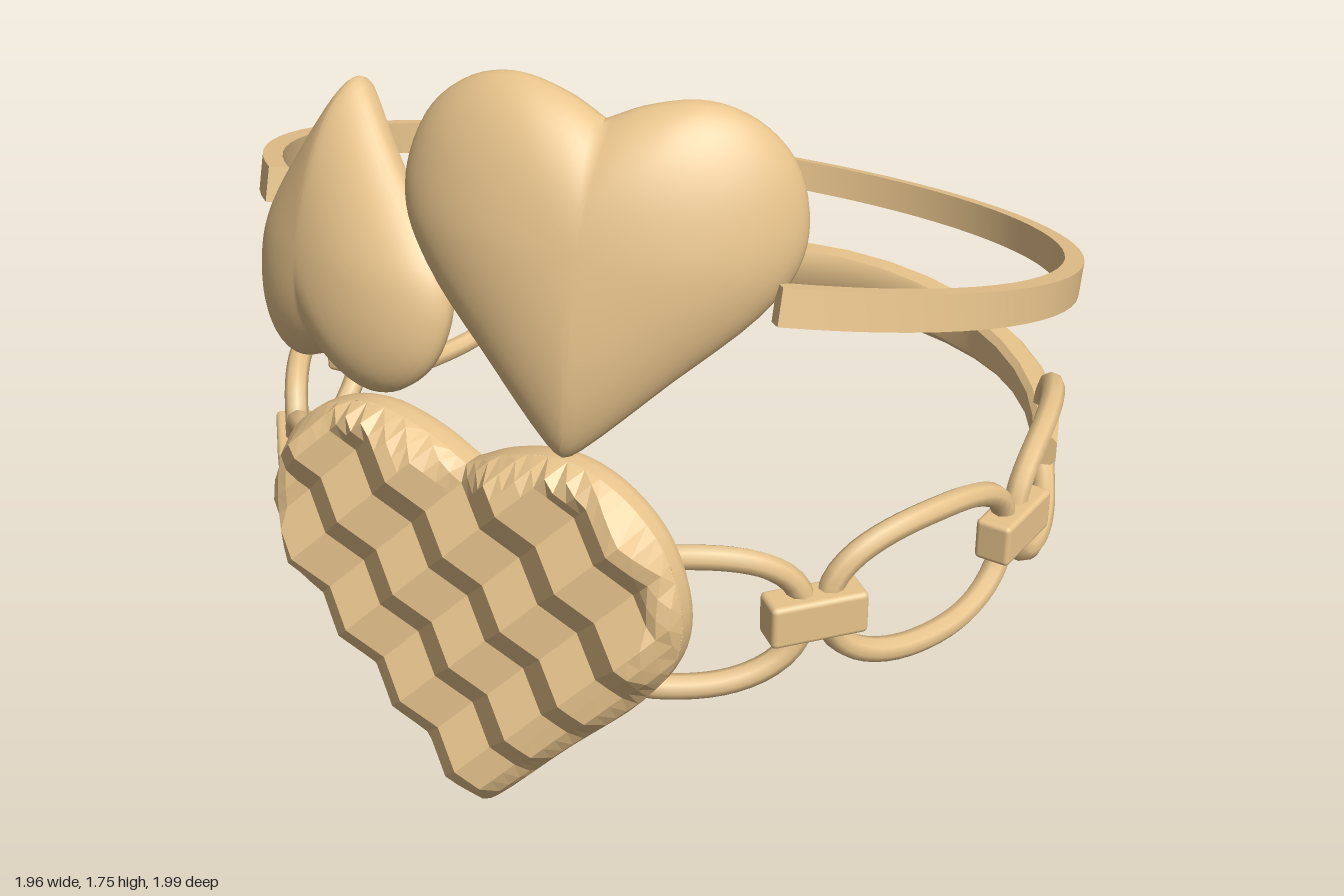
import * as THREE from 'three';
import { toCreasedNormals } from 'three/addons/utils/BufferGeometryUtils.js';
import { RoundedBoxGeometry } from 'three/addons/geometries/RoundedBoxGeometry.js';

const V = (x, y, z) => new THREE.Vector3(x, y, z);
const rad = THREE.MathUtils.degToRad;
const gold = new THREE.MeshStandardMaterial({ color: 0xe8c48c });
const goldFlat = new THREE.MeshStandardMaterial({ color: 0xe8c48c, flatShading: true });

function mesh(name, geometry, material = gold) {
  const m = new THREE.Mesh(geometry, material);
  m.name = name;
  return m;
}

function build(points, index) {
  const g = new THREE.BufferGeometry().setFromPoints(points);
  g.setIndex(index);
  g.computeVertexNormals();
  return g;
}

// Skin a list of closed cross-sections with equal point counts
function loft(rings, crease = 0.7) {
  const n = rings[0].length, index = [];
  for (let i = 0; i < rings.length - 1; i++) {
    for (let j = 0; j < n; j++) {
      const a = i * n + j, b = i * n + (j + 1) % n;
      index.push(a, b, b + n, a, b + n, a + n);
    }
  }
  return toCreasedNormals(build(rings.flat(), index), crease);
}

// Sweep a (radius, y) section around the y axis, with closed ends
function sweepArc(from, to, steps, section) {
  const rings = [];
  for (let i = 0; i <= steps; i++) {
    const t = i / steps, a = rad(from + (to - from) * t);
    rings.push(section(t).map(([r, y]) => V(r * Math.cos(a), y, r * Math.sin(a))));
  }
  const collapse = ring => {
    const c = V(0, 0, 0);
    ring.forEach(p => c.add(p));
    c.divideScalar(ring.length);
    return ring.map(() => c.clone());
  };
  return loft([collapse(rings[0]), ...rings, collapse(rings[steps])]);
}

// Heart outline, tip at the origin, running counterclockwise
const half = [[0, 0], [0.025, 0.012], [0.24, 0.235], [0.44, 0.44], [0.515, 0.56], [0.53, 0.68],
  [0.48, 0.83], [0.37, 0.93], [0.24, 0.965], [0.1, 0.935], [0, 0.885]];
const rightSide = new THREE.CatmullRomCurve3(half.map(([x, y]) => V(x, y, 0))).getPoints(44);
const outline = [...rightSide, ...rightSide.slice(1, -1).reverse().map(p => V(-p.x, p.y, 0))];
const heartCentre = V(0, 0.56, 0);

// Heart from [scale, depth] steps, starting at the middle of the back
function heartRings(profile) {
  return profile.map(([t, z]) => outline.map(p => {
    const q = heartCentre.clone().lerp(p, t);
    q.z = z;
    return q;
  }));
}

// Smooth padded heart bent around the bangle
function puffyHeart(name, angle, width, height, yMid, flip) {
  const profile = [[0, 0], [0.3, 0], [0.6, 0], [0.85, 0], [0.965, 0], [0.99, 0.012], [1, 0.03]];
  for (let k = 1; k <= 14; k++) {
    const t = Math.cos(k / 14 * Math.PI / 2);
    profile.push([t, 0.03 + 0.115 * Math.pow(1 - Math.pow(t, 2.2), 0.6)]);
  }
  const rings = heartRings(profile).map(ring => ring.map(p => {
    const a = rad(angle) + flip * p.x / 1.06 * width / 0.9;
    const r = 0.87 + p.z;
    return V(r * Math.sin(a), yMid + flip * (p.y / 0.965 - 0.5) * height, r * Math.cos(a));
  }));
  return mesh(name, loft(rings, 0.8));
}

// Radial position of a point: 0 at the heart's centre, 1 on its outline
function heartRatio(x, y) {
  const dx = x - heartCentre.x, dy = y - heartCentre.y;
  for (let j = 0; j < outline.length; j++) {
    const a = outline[j], b = outline[(j + 1) % outline.length];
    const ax = a.x, ay = a.y - heartCentre.y, ex = b.x - a.x, ey = b.y - a.y;
    const det = dx * ey - dy * ex;
    if (Math.abs(det) < 1e-12) continue;
    const s = (ax * ey - ay * ex) / det, k = (ax * dy - ay * dx) / det;
    if (s > 0 && k >= -1e-6 && k <= 1 + 1e-6) return 1 / s;
  }
  return 0;
}

// Heart with a faceted, diamond-quilted front
function quiltedHeart() {
  const group = new THREE.Group();
  group.name = 'quiltedHeart';
  const rim = [[0, 0], [0.975, 0], [0.993, 0.012], [1, 0.03], [1, 0.06]];
  group.add(mesh('heartBack', loft(heartRings(rim), 0.8)));

  const sub = 3, first = -1, last = 32, n = last - first + 1, step = 0.1 / sub;
  const fold = k => 1 - Math.abs((((k / sub) % 2) + 2) % 2 - 1);
  const points = [], inside = [], index = [];
  for (let i = first; i <= last; i++) {
    for (let j = first; j <= last; j++) {
      const x = (i - j) * step * Math.SQRT1_2, y = (i + j) * step * Math.SQRT1_2;
      const t = heartRatio(x, y);
      const p = V(x, y, 0);
      if (t > 1) p.sub(heartCentre).divideScalar(t).add(heartCentre);
      const fade = Math.sqrt(THREE.MathUtils.clamp((1 - t) / 0.1, 0, 1));
      p.z = 0.06 + (0.02 + 0.04 * (fold(i) + fold(j))) * fade;
      points.push(p);
      inside.push(t < 1);
    }
  }
  for (let i = 0; i < n - 1; i++) {
    for (let j = 0; j < n - 1; j++) {
      const a = i * n + j, b = a + n, c = b + 1, d = a + 1;
      if ([a, b, c, d].some(k => inside[k])) index.push(a, b, c, a, c, d);
    }
  }
  group.add(mesh('quilting', build(points, index), goldFlat));
  group.position.z = 0.81;
  return group;
}

// Oval chain link bent around the wrist; front links sink into the heart
function chainLink(angle) {
  const pts = [];
  const soft = v => Math.sign(v) * Math.pow(Math.abs(v), 0.88);
  for (let i = 0; i < 28; i++) {
    const t = i / 28 * Math.PI * 2;
    const a = rad(angle) + 0.27 * soft(Math.cos(t)) / 0.925;
    pts.push(V(0.925 * Math.cos(a), 0.6 + 0.162 * soft(Math.sin(t)), Math.min(0.845, 0.925 * Math.sin(a))));
  }
  return mesh('chainLink', new THREE.TubeGeometry(new THREE.CatmullRomCurve3(pts, true), 48, 0.028, 8, true));
}

function connector(angle) {
  const m = mesh('linkConnector', new RoundedBoxGeometry(0.085, 0.1, 0.22, 2, 0.012));
  const a = rad(angle);
  m.position.set(0.932 * Math.cos(a), 0.6, 0.932 * Math.sin(a));
  m.rotation.y = -a;
  return m;
}

export function createModel() {
  const model = new THREE.Group();

  // Chain bracelet
  const bracelet = new THREE.Group();
  bracelet.name = 'chainBracelet';
  bracelet.add(quiltedHeart());
  for (const mirrored of [false, true]) {
    const place = a => (mirrored ? 180 - a : a);
    for (const a of [59, 22.3, -14]) bracelet.add(chainLink(place(a)));
    for (const a of [41, 3.7]) bracelet.add(connector(place(a)));
  }

  // Solid back band, widest at the middle
  bracelet.add(mesh('backBand', sweepArc(-161, -19, 18, t => {
    const s = Math.sin(t * Math.PI);
    const r = 0.915 + 0.04 * s, w = 0.03 + 0.015 * s, h = 0.037 + 0.04 * s * s;
    return [[1, -0.7], [1, 0.7], [0.6, 1], [-0.6, 1], [-1, 0.7], [-1, -0.7], [-0.6, -1], [0.6, -1]]
      .map(([x, y]) => [r + x * w, 0.595 + y * h]);
  })));
  model.add(bracelet);

  // Tilted open bangle with two padded hearts
  const bangle = new THREE.Group();
  bangle.name = 'heartBangle';
  bangle.add(mesh('bangleBand', sweepArc(-230, 48, 64,
    () => [[0.97, -0.04], [0.97, 0.04], [0.925, 0.04], [0.925, -0.04]])));
  bangle.add(puffyHeart('uprightHeart', 18.3, 0.86, 0.755, 0, 1));
  bangle.add(puffyHeart('invertedHeart', -21.5, 0.68, 0.64, -0.025, -1));
  bangle.position.y = 1.15;
  bangle.rotation.x = -0.262;
  model.add(bangle);

  return model;
}
